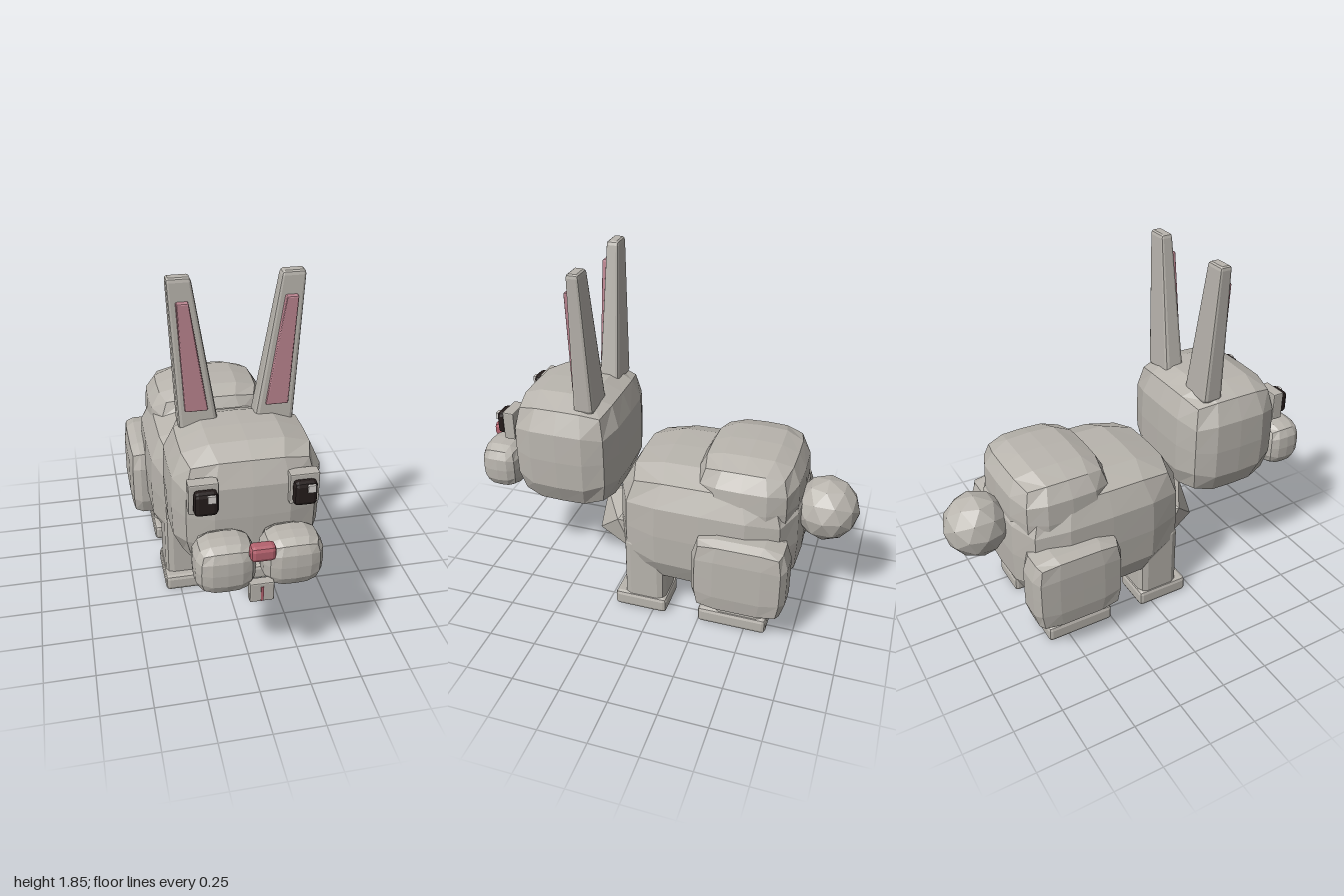
import * as THREE from 'three';
import { RoundedBoxGeometry } from 'three/addons/geometries/RoundedBoxGeometry.js';

const paint = (name, color) => Object.assign(new THREE.MeshStandardMaterial({ color }), { name });

// Faceted normals
function facet(geo) {
  const g = geo.index ? geo.toNonIndexed() : geo;
  g.computeVertexNormals();
  return g;
}

// Pillow shape: a subdivided cube pushed onto a superellipsoid of power p
function pillow(hx, hy, hz, p = 4, n = 4) {
  const geo = new THREE.BoxGeometry(2, 2, 2, n, n, n);
  const pos = geo.attributes.position;
  for (let i = 0; i < pos.count; i++) {
    const v = new THREE.Vector3().fromBufferAttribute(pos, i);
    const len = (Math.abs(v.x) ** p + Math.abs(v.y) ** p + Math.abs(v.z) ** p) ** (1 / p);
    pos.setXYZ(i, v.x / len * hx, v.y / len * hy, v.z / len * hz);
  }
  return facet(geo);
}

// Chamfered block
const block = (w, h, d, r) => facet(new RoundedBoxGeometry(w, h, d, 1, r));

// Chamfered block that narrows and leans sideways towards its top
function taperedBlock(w, h, d, r, topW, topD, lean) {
  const geo = new RoundedBoxGeometry(w, h, d, 1, r);
  const pos = geo.attributes.position;
  for (let i = 0; i < pos.count; i++) {
    const t = pos.getY(i) / h + 0.5;
    pos.setX(i, pos.getX(i) * (1 + (topW - 1) * t) + lean * t);
    pos.setZ(i, pos.getZ(i) * (1 + (topD - 1) * t));
  }
  return facet(geo);
}

export function createModel() {
  const model = new THREE.Group();
  model.name = 'rabbit';

  const fur = paint('fur grey', 0xb9b5ae);
  const earPink = paint('inner ear pink', 0xbb8590);
  const nosePink = paint('nose pink', 0xb5626e);
  const black = paint('eye black', 0x241c1b);
  const glint = paint('eye glint', 0xd6d2ce);

  function add(name, geo, mat, x, y, z) {
    const mesh = new THREE.Mesh(geo, mat);
    mesh.name = name;
    mesh.position.set(x, y, z);
    model.add(mesh);
    return mesh;
  }

  // Body, rump and head
  add('body', pillow(0.37, 0.343, 0.475), fur, 0, 0.535, -0.255);
  add('rump', pillow(0.33, 0.23, 0.268, 3.5), fur, 0, 0.745, -0.45);
  add('head', pillow(0.35, 0.315, 0.285), fur, 0, 0.865, 0.5);

  // Fluffy tail
  add('tail', facet(new THREE.IcosahedronGeometry(0.167, 1)), fur, 0, 0.643, -0.833);

  // Pointed chest tuft, one corner down
  const tuft = new THREE.IcosahedronGeometry(1, 0);
  tuft.rotateX(-Math.atan((1 + Math.sqrt(5)) / 2));
  tuft.scale(0.247, 0.175, 0.215);
  tuft.rotateX(-0.23);
  add('chestTuft', facet(tuft), fur, 0, 0.39, 0.19);

  // Nose, teeth and the line between the teeth
  add('nose', block(0.115, 0.075, 0.065, 0.02), nosePink, 0, 0.812, 0.967);
  add('teeth', block(0.11, 0.1, 0.045, 0.006), fur, 0, 0.598, 0.96);
  add('teethGap', new THREE.BoxGeometry(0.012, 0.075, 0.006), nosePink, 0, 0.592, 0.984);

  for (const [side, s] of [['left', 1], ['right', -1]]) {
    // Legs and feet
    add(side + 'Thigh', pillow(0.108, 0.215, 0.243, 6), fur, s * 0.345, 0.405, -0.475);
    add(side + 'FrontLeg', block(0.205, 0.41, 0.225, 0.04), fur, s * 0.217, 0.255, 0.05);
    add(side + 'FrontFoot', block(0.22, 0.088, 0.285, 0.02), fur, s * 0.22, 0.05, 0.068);
    add(side + 'BackLeg', block(0.205, 0.36, 0.275, 0.04), fur, s * 0.217, 0.23, -0.462);
    add(side + 'BackFoot', block(0.22, 0.088, 0.365, 0.02), fur, s * 0.22, 0.05, -0.432);

    // Cheek
    add(side + 'Cheek', pillow(0.14, 0.128, 0.11, 3.2), fur, s * 0.152, 0.712, 0.873);

    // Eye on its socket plate, glint on the same side for both
    add(side + 'EyeSocket', block(0.135, 0.15, 0.06, 0.006), fur, s * 0.225, 0.998, 0.773);
    add(side + 'Eye', block(0.107, 0.118, 0.052, 0.02), black, s * 0.22, 0.995, 0.824);
    add(side + 'EyeGlint', new THREE.BoxGeometry(0.035, 0.036, 0.012), glint, s * 0.22 + 0.022, 1.027, 0.852);

    // Ear and its pink lining
    add(side + 'Ear', taperedBlock(0.19, 0.73, 0.108, 0.02, 0.57, 0.58, s * 0.08), fur, s * 0.175, 1.487, 0.369);
    add(side + 'InnerEar', taperedBlock(0.107, 0.525, 0.035, 0.007, 0.52, 1, s * 0.055),
      earPink, s * 0.188, 1.485, 0.414);
  }

  return model;
}
